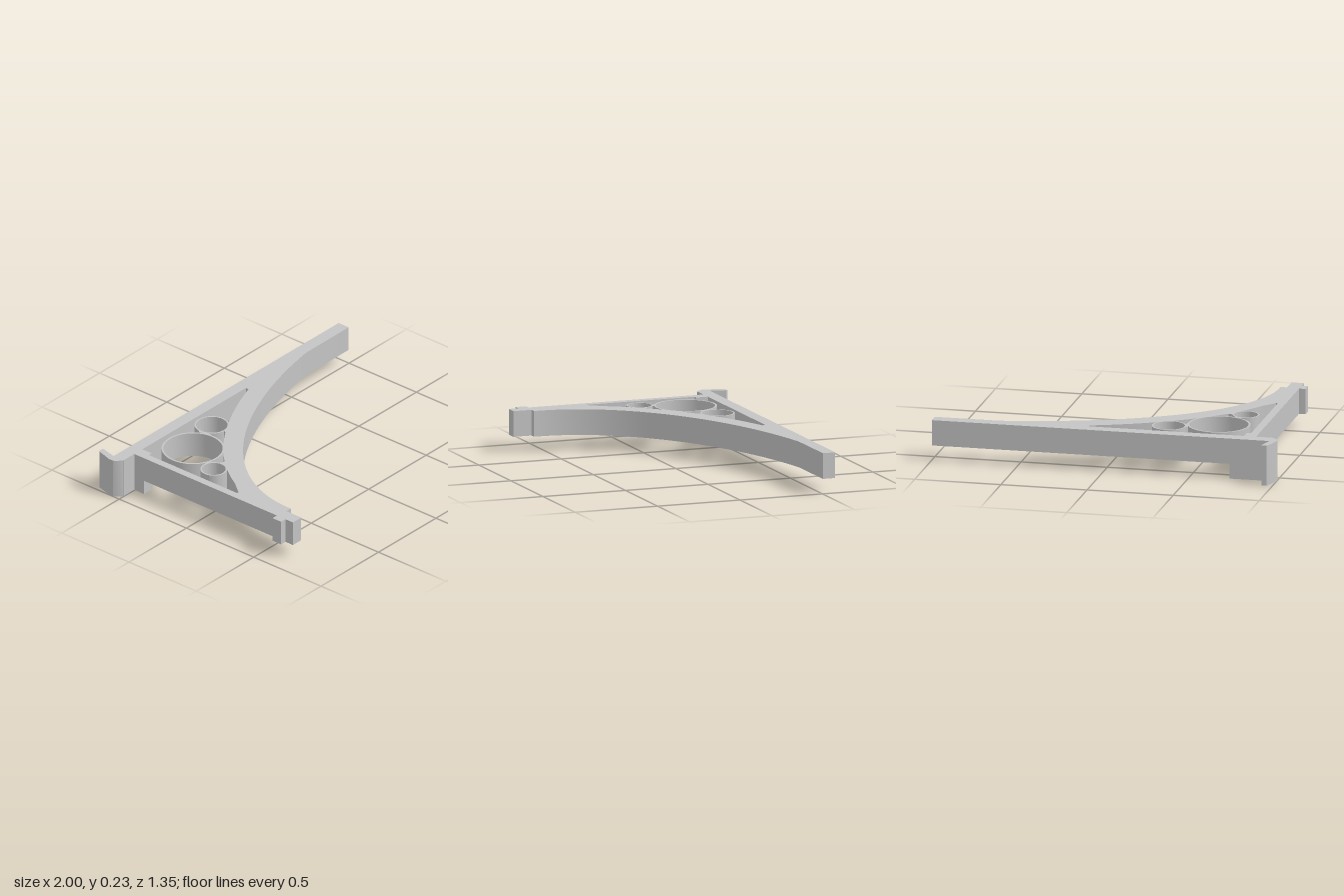
import * as THREE from 'three';
import { toCreasedNormals } from 'three/addons/utils/BufferGeometryUtils.js';

const LOW = 0.086, TOP = 0.234;
const BACK = -0.577, ARM = -0.503; // z of the shelf arm's two long faces

// Plan points are [x, z]; shapes are drawn with z flipped and then laid flat.
const toPoints = (plan) => plan.map(([x, z]) => new THREE.Vector2(x, -z));

function slab(name, shape, y0, y1, material) {
  const geo = new THREE.ExtrudeGeometry(shape, { depth: y1 - y0, bevelEnabled: false, curveSegments: 32 });
  geo.rotateX(-Math.PI / 2).translate(0, y0, 0);
  const mesh = new THREE.Mesh(toCreasedNormals(geo, 0.4), material);
  mesh.name = name;
  return mesh;
}

// Plan points along an elliptical sweep centred on (cx, cz)
function sweep(cx, cz, a, b, from, to, count = 40) {
  return Array.from({ length: count + 1 }, (_, i) => {
    const t = from + (to - from) * i / count;
    return [cx - a * Math.cos(t), cz - b * Math.sin(t)];
  });
}

export function createModel() {
  const group = new THREE.Group();
  const grey = new THREE.MeshStandardMaterial({ color: 0xc4c4c4 });
  grey.name = 'plain grey';

  // Bracket frame: shelf arm, wall post with foot tab, and curved brace
  const frame = new THREE.Shape(toPoints([
    [-0.96, BACK], [1, BACK], [1, ARM],
    ...sweep(1.132, 0.54, 1.887, 1.08, 1.3, 0),
    [-0.755, 0.566], [-0.793, 0.566], [-0.793, 0.676], [-0.865, 0.676],
    [-0.865, 0.62], [-0.903, 0.62], [-0.903, 0.557], [-0.865, 0.557],
    [-0.865, ARM], [-0.96, ARM],
  ]));
  // The opening runs the opposite way round, so its walls face inward
  frame.holes.push(new THREE.Path(toPoints([
    [-0.82, 0.22], [-0.81, 0.225],
    ...sweep(0.945, 0.5, 1.784, 1.114, 0.327, 1.081),
    [0.107, ARM], [-0.795, ARM], [-0.795, -0.433], [-0.82, -0.433],
  ])));
  group.add(slab('bracketFrame', frame, LOW, TOP, grey));

  // Ornamental rings: x, z, outer radius, wall
  const rings = [
    ['largeRing', -0.6, -0.292, 0.178, 0.011],
    ['armRing', -0.332, -0.382, 0.098, 0.009],
    ['postRing', -0.7, -0.053, 0.076, 0.009],
  ];
  for (const [name, x, z, r, wall] of rings) {
    const ring = new THREE.Shape().absarc(x, -z, r, 0, Math.PI * 2, false);
    ring.holes.push(new THREE.Path().absarc(x, -z, r - wall, 0, Math.PI * 2, true));
    group.add(slab(name, ring, LOW, TOP, grey));
  }

  // Small webs tying the rings to each other and to the brace
  const webs = [
    [[-0.439, -0.385], [-0.424, -0.4], [-0.418, -0.34], [-0.418, -0.31], [-0.43, -0.31]],
    [[-0.69, -0.135], [-0.645, -0.118], [-0.652, -0.108], [-0.685, -0.125]],
    [[-0.628, -0.07], [-0.6, -0.06], [-0.63, 0.0], [-0.66, 0.02], [-0.638, -0.015]],
    [[-0.34, -0.288], [-0.285, -0.296], [-0.26, -0.31], [-0.28, -0.28], [-0.345, -0.25]],
  ];
  webs.forEach((pts, i) => group.add(slab('ringWeb' + (i + 1), new THREE.Shape(toPoints(pts)), LOW, TOP, grey)));

  // Hooked clip at the corner, full height
  const hook = new THREE.Shape(toPoints([
    [-0.958, BACK], [-0.935, -0.668], [-0.938, -0.677], [-0.965, -0.677], [-0.972, -0.668],
    [-1, -0.575], [-1, -0.546], [-0.992, -0.533], [-0.965, -0.506], [-0.958, ARM],
  ]));
  group.add(slab('cornerHook', hook, 0, TOP, grey));

  // Lower corner block under the arm and post
  const block = new THREE.Shape(toPoints([
    [-0.96, BACK], [-0.728, BACK], [-0.728, ARM], [-0.795, ARM],
    [-0.795, -0.43], [-0.865, -0.43], [-0.865, ARM], [-0.96, ARM],
  ]));
  group.add(slab('cornerBlock', block, 0, LOW, grey));

  return group;
}
